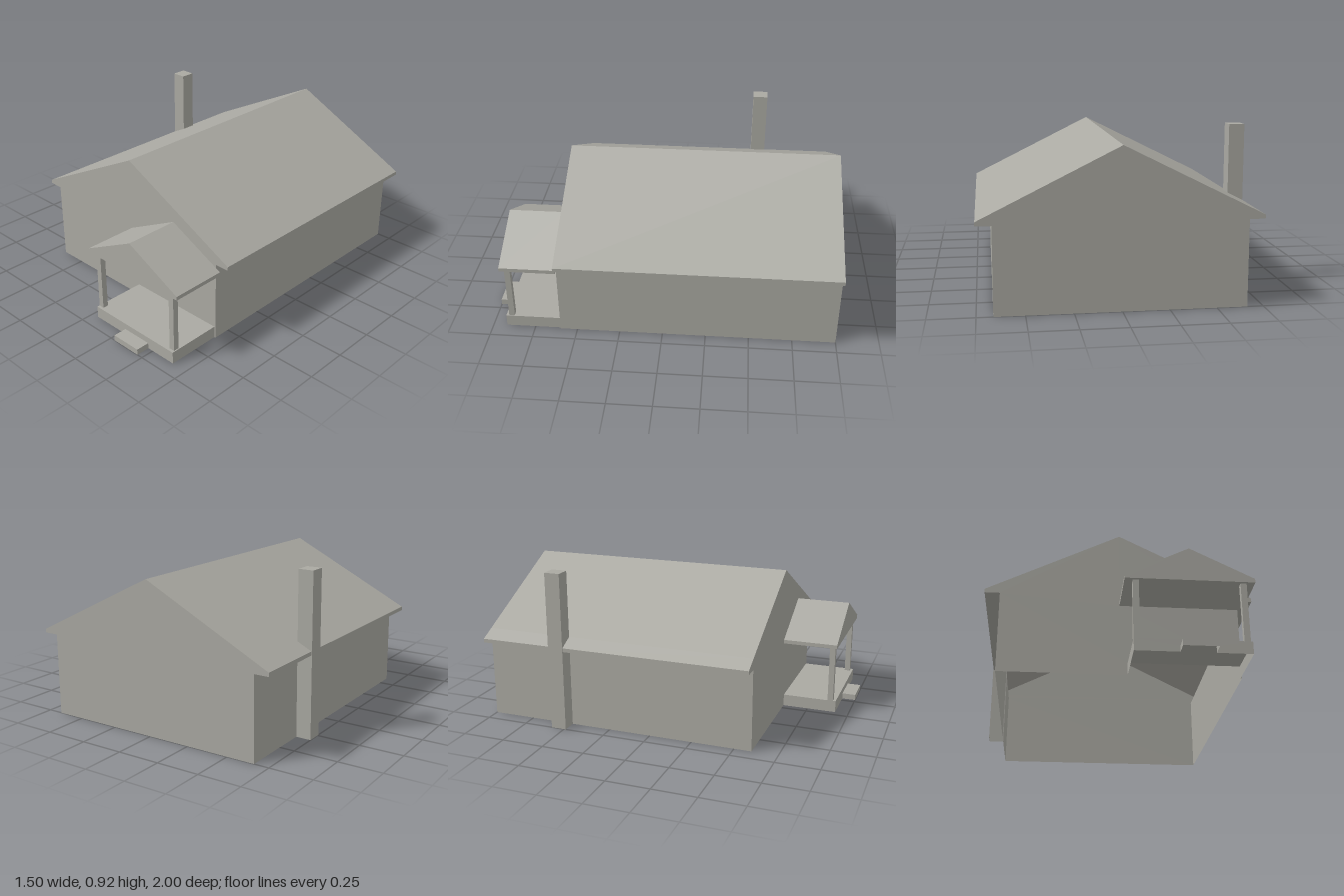
import * as THREE from 'three';

const W = 0.663;              // half width of the walls
const E = 0.747;              // half width of the roof
const EAVE = 0.47, FASCIA = 0.492, RIDGE = 0.865;
const FRONT = 0.6, BACK = -1;
const CHIMNEY = { x0: -0.75, x1: -W, z0: -0.578, z1: -0.488, top: 0.92 };
const PORCH = { x0: 0.043, x1: 0.655, z1: 0.92, floor: 0.07 };

export function createModel() {
  const grey = new THREE.MeshStandardMaterial({ color: 0xaaa9a2, side: THREE.DoubleSide });
  grey.name = 'warm grey';
  const model = new THREE.Group();
  model.name = 'house';

  const add = (name, geometry, parent = model) => {
    const mesh = new THREE.Mesh(geometry, grey);
    mesh.name = name;
    parent.add(mesh);
    return mesh;
  };
  const group = (name) => {
    const g = new THREE.Group();
    g.name = name;
    model.add(g);
    return g;
  };

  // Quads swept along z from the edges of an open counter-clockwise outline
  const sweep = (points, z0, z1) => {
    const pos = [];
    for (let i = 0; i + 1 < points.length; i++) {
      const [ax, ay] = points[i], [bx, by] = points[i + 1];
      pos.push(ax, ay, z1, ax, ay, z0, bx, by, z0, ax, ay, z1, bx, by, z0, bx, by, z1);
    }
    const g = new THREE.BufferGeometry();
    g.setAttribute('position', new THREE.Float32BufferAttribute(pos, 3));
    g.computeVertexNormals();
    return g;
  };

  // Flat upright sheet at a given z, facing forward or backward
  const sheet = (points, z, backward = false) => {
    const pts = points.map(([x, y]) => new THREE.Vector2(backward ? -x : x, y));
    const g = new THREE.ShapeGeometry(new THREE.Shape(pts));
    if (backward) g.rotateY(Math.PI);
    return g.translate(0, 0, z);
  };

  // Main shell: walls, soffits, fascias and roof, open underneath
  const roofAtWall = FASCIA + (RIDGE - FASCIA) * (1 - W / E);
  const rightSide = [[W, 0], [W, EAVE]];
  const rightRoof = [[W, EAVE], [E, EAVE], [E, FASCIA], [0, RIDGE]];
  const leftRoof = [[0, RIDGE], [-W, roofAtWall]];
  const leftEave = [[-W, roofAtWall], [-E, FASCIA], [-E, EAVE], [-W, EAVE]];
  const leftSide = [[-W, EAVE], [-W, 0]];
  add('rightWall', sweep(rightSide, BACK, FRONT));
  add('rightRoof', sweep(rightRoof, BACK, FRONT));
  add('leftRoof', sweep(leftRoof, BACK, FRONT));
  for (const [z0, z1] of [[BACK, CHIMNEY.z0], [CHIMNEY.z1, FRONT]]) {
    add('leftEave', sweep(leftEave, z0, z1));
    add('leftWall', sweep(leftSide, z0, z1));
  }

  // Gable walls; the front one is open where the porch joins
  const gableTop = [[W, EAVE], [E, EAVE], [E, FASCIA], [0, RIDGE], [-E, FASCIA], [-E, EAVE], [-W, EAVE]];
  add('backWall', sheet([[-W, 0], [W, 0], ...gableTop], BACK, true));
  add('frontWall', sheet([
    [-W, 0], [PORCH.x0, 0], [PORCH.x0, PORCH.floor], [PORCH.x1, PORCH.floor], [PORCH.x1, 0], [W, 0],
    [W, 0.415], [0, 0.415], [0, 0.437], [0.345, 0.608], [W, 0.45], ...gableTop,
  ], FRONT));

  // Chimney, hollow and joined to the wall
  const chimney = group('chimney');
  const { x0, x1, z0, z1, top } = CHIMNEY;
  add('chimneyShaft', sweep([[x1, roofAtWall], [x1, top], [x0, top], [x0, 0]], z0, z1), chimney);
  const face = [[x0, 0], [x1, 0], [x1, top], [x0, top]];
  add('chimneyFront', sheet(face, z1), chimney);
  add('chimneyBack', sheet(face, z0, true), chimney);

  // Porch base and step, hollow underneath
  const porch = group('porch');
  const slab = (name, a, b, h, za, zb) =>
    add(name, sweep([[b, 0], [b, h], [a, h], [a, 0]], za, zb), porch);
  const S = { x0: 0.28, x1: 0.465, h: 0.034 };
  slab('porchFloor', PORCH.x0, PORCH.x1, PORCH.floor, FRONT, PORCH.z1);
  add('porchFloorFront', sheet([
    [PORCH.x0, 0], [S.x0, 0], [S.x0, S.h], [S.x1, S.h], [S.x1, 0],
    [PORCH.x1, 0], [PORCH.x1, PORCH.floor], [PORCH.x0, PORCH.floor],
  ], PORCH.z1), porch);
  slab('step', S.x0, S.x1, S.h, PORCH.z1, 1);
  add('stepFront', sheet([[S.x0, 0], [S.x1, 0], [S.x1, S.h], [S.x0, S.h]], 1), porch);

  // Porch posts
  for (const x of [0.06, 0.632]) {
    const post = new THREE.BoxGeometry(0.033, 0.345, 0.033);
    add('porchPost', post.translate(x, 0.2425, 0.887), porch);
  }

  // Porch roof with a flat ceiling
  const roof = [[0, 0.415], [0.692, 0.415], [0.692, 0.437], [0.345, 0.608], [0, 0.437]];
  add('porchRoof', sweep([...roof, roof[0]], FRONT, PORCH.z1), porch);
  add('porchGable', sheet(roof, PORCH.z1), porch);
  add('porchRoofEnd', sheet([[W, 0.415], [0.692, 0.415], [0.692, 0.437], [W, 0.45]], FRONT, true), porch);

  return model;
}
